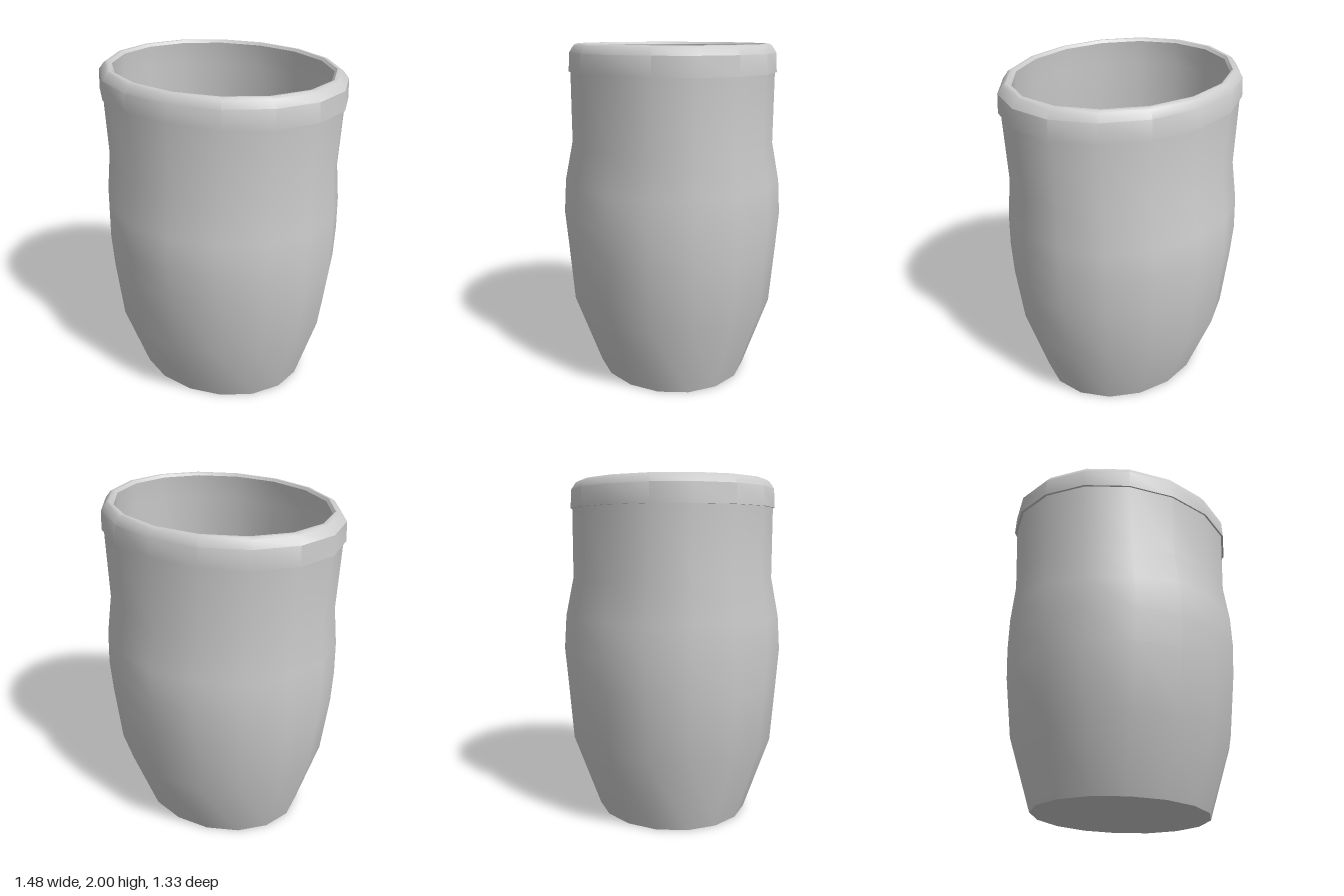
import * as THREE from 'three';
import { toCreasedNormals } from 'three/addons/utils/BufferGeometryUtils.js';

const SIDES = 16;

// Lofts elliptical rings [y, radiusX, radiusZ]; a zero radius closes the end.
function loft(name, rings, material) {
  const positions = [], index = [];
  for (const [y, rx, rz] of rings) {
    for (let j = 0; j < SIDES; j++) {
      const a = (j / SIDES) * Math.PI * 2;
      positions.push(rx * Math.cos(a), y, rz * Math.sin(a));
    }
  }
  for (let i = 0; i < rings.length - 1; i++) {
    for (let j = 0; j < SIDES; j++) {
      const k = (j + 1) % SIDES;
      const a = i * SIDES + j, d = i * SIDES + k;
      const b = a + SIDES, c = d + SIDES;
      if (rings[i + 1][1] > 0) index.push(a, b, c);
      if (rings[i][1] > 0) index.push(a, c, d);
    }
  }
  const geometry = new THREE.BufferGeometry();
  geometry.setAttribute('position', new THREE.Float32BufferAttribute(positions, 3));
  geometry.setIndex(index);
  const mesh = new THREE.Mesh(toCreasedNormals(geometry, 0.6), material);
  mesh.name = name;
  return mesh;
}

export function createModel() {
  const model = new THREE.Group();
  model.name = 'cup';
  const material = new THREE.MeshStandardMaterial({ color: 0xcccccc });

  // Base and bulging outer wall
  model.add(loft('outerWall', [
    [0, 0, 0],
    [0, 0.54, 0.455],
    [0.435, 0.67, 0.615],
    [0.8, 0.715, 0.645],
    [1.0, 0.722, 0.663],
    [1.2, 0.72, 0.65],
    [1.43, 0.702, 0.603],
    [1.84, 0.722, 0.603],
  ], material));

  // Bevelled lip overhanging the wall
  model.add(loft('rim', [
    [1.84, 0.722, 0.603],
    [1.84, 0.738, 0.613],
    [1.95, 0.732, 0.607],
    [1.99, 0.7, 0.582],
    [2.0, 0.685, 0.567],
    [2.0, 0.665, 0.555],
    [1.985, 0.65, 0.543],
  ], material));

  // Hollow interior down to the floor
  model.add(loft('innerWall', [
    [1.985, 0.65, 0.543],
    [1.84, 0.662, 0.555],
    [1.43, 0.655, 0.557],
    [1.2, 0.668, 0.595],
    [1.0, 0.668, 0.61],
    [0.8, 0.66, 0.595],
    [0.45, 0.615, 0.565],
    [0.06, 0.47, 0.39],
    [0.06, 0, 0],
  ], material));

  return model;
}
